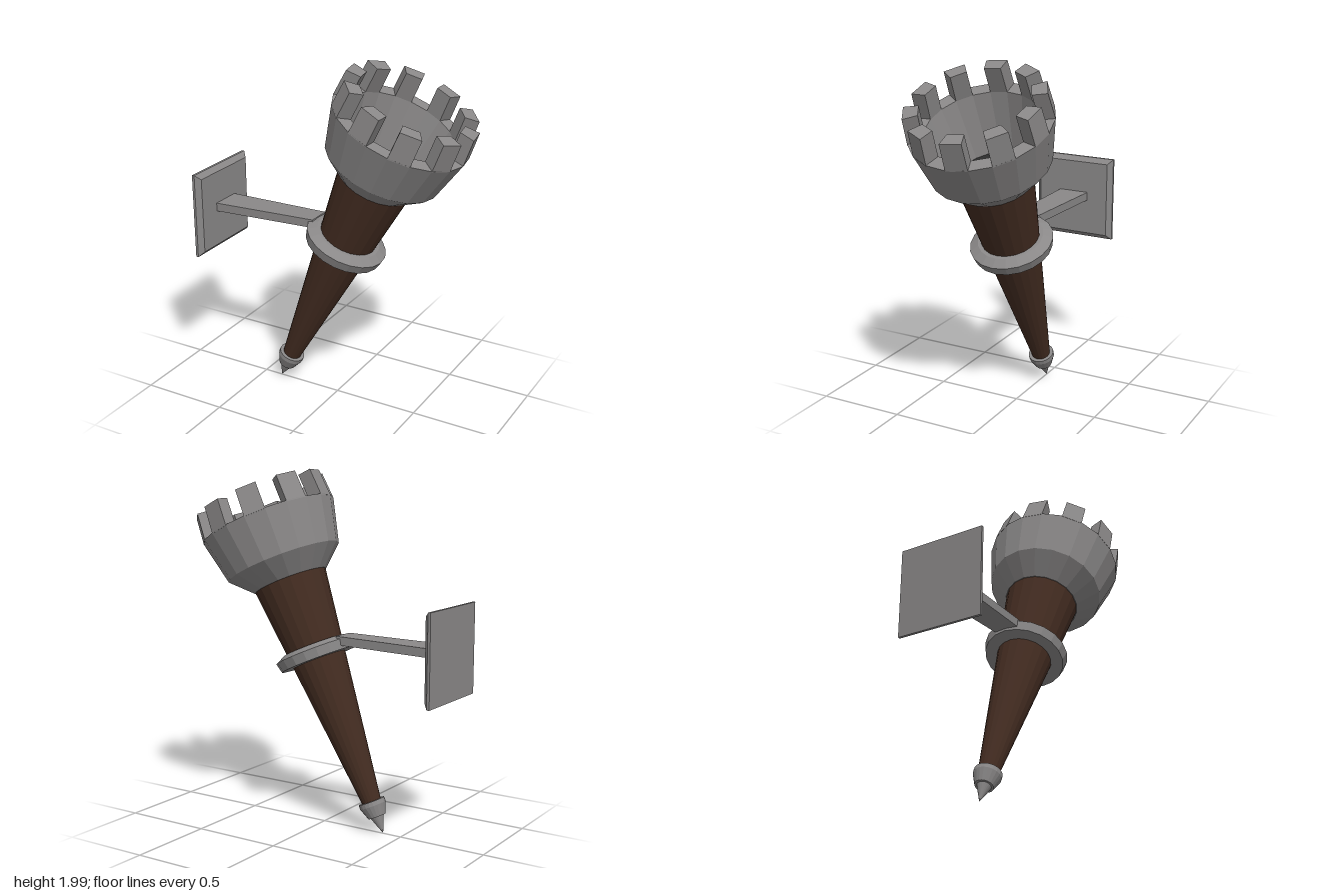
import * as THREE from 'three';

const SIDES = 20;
const TILT = THREE.MathUtils.degToRad(24.4);

function material(name, color) {
  const m = new THREE.MeshStandardMaterial({ color, flatShading: true });
  m.name = name;
  return m;
}

function add(parent, name, geometry, mat) {
  const mesh = new THREE.Mesh(geometry, mat);
  mesh.name = name;
  parent.add(mesh);
  return mesh;
}

// Profile of [radius, height] pairs, turned round the y axis
function lathe(profile) {
  return new THREE.LatheGeometry(profile.map(([r, y]) => new THREE.Vector2(r, y)), SIDES);
}

// Moves every corner of a unit box by a rule
function shapedBox(rule) {
  const geometry = new THREE.BoxGeometry(1, 1, 1);
  const p = geometry.attributes.position;
  for (let i = 0; i < p.count; i++) {
    p.setXYZ(i, ...rule(p.getX(i) > 0, p.getY(i) > 0, p.getZ(i) > 0));
  }
  geometry.computeVertexNormals();
  return geometry;
}

export function createModel() {
  const model = new THREE.Group();
  model.name = 'wallTorch';
  const iron = material('iron grey', 0x8a8888);
  const wood = material('dark wood', 0x432c21);
  const soot = material('soot black', 0x2b2b2b);

  // Torch body, built upright from its tip and then leaned over
  const torch = new THREE.Group();
  torch.name = 'torch';
  torch.position.set(-0.39, 0.005, 0);
  torch.rotation.z = -TILT;
  model.add(torch);

  add(torch, 'shaft', lathe([[0, 0.17], [0.052, 0.17], [0.21, 1.505]]), wood);
  add(torch, 'tipCap', lathe([
    [0, 0], [0.038, 0.1], [0.05, 0.1], [0.075, 0.165], [0.075, 0.19], [0.05, 0.19],
  ]), iron);
  add(torch, 'collar', lathe([
    [0.15, 1.03], [0.222, 1.03], [0.236, 1.085], [0.185, 1.112], [0.16, 1.112],
  ]), iron);

  // Hollow cup: outer wall, flat rim, inner wall
  add(torch, 'cup', lathe([
    [0.19, 1.5], [0.213, 1.5], [0.33, 1.612], [0.39, 1.865], [0.305, 1.865], [0.225, 1.525],
  ]), iron);
  const floor = add(torch, 'cupFloor', new THREE.CircleGeometry(0.23, SIDES), soot);
  floor.rotation.x = -Math.PI / 2;
  floor.position.y = 1.53;

  // Battlements, one on every second side of the rim
  const half = Math.PI / SIDES;
  const merlon = shapedBox((outer, top, far) => {
    const a = far ? half : -half;
    const r = outer ? (top ? 0.378 : 0.39) : (top ? 0.295 : 0.305);
    return [r * Math.cos(a), top ? 2.016 : 1.86, r * Math.sin(a)];
  });
  for (let i = 0; i < SIDES / 2; i++) {
    add(torch, 'battlement', merlon, iron).rotation.y = half - i * 4 * half;
  }

  // Wall plate: square back with bevelled front edges
  const plate = new THREE.Group();
  plate.name = 'wallPlate';
  plate.position.set(0, 1.05, 0.01);
  model.add(plate);
  add(plate, 'plateBack', new THREE.BoxGeometry(0.015, 0.5, 0.5), iron).position.x = -0.785;
  add(plate, 'plateBevel', shapedBox((front, top, left) => {
    const h = front ? 0.222 : 0.25;
    return [front ? -0.75 : -0.7775, top ? h : -h, left ? h : -h];
  }), iron);

  // Flat arm narrowing towards the collar
  add(model, 'arm', shapedBox((inner, top, left) => [
    inner ? -0.12 : -0.755,
    inner ? (top ? 1.098 : 1.05) : (top ? 1.085 : 1.036),
    inner ? (left ? 0.07 : -0.07) : (left ? 0.097 : -0.085),
  ]), iron);

  return model;
}
